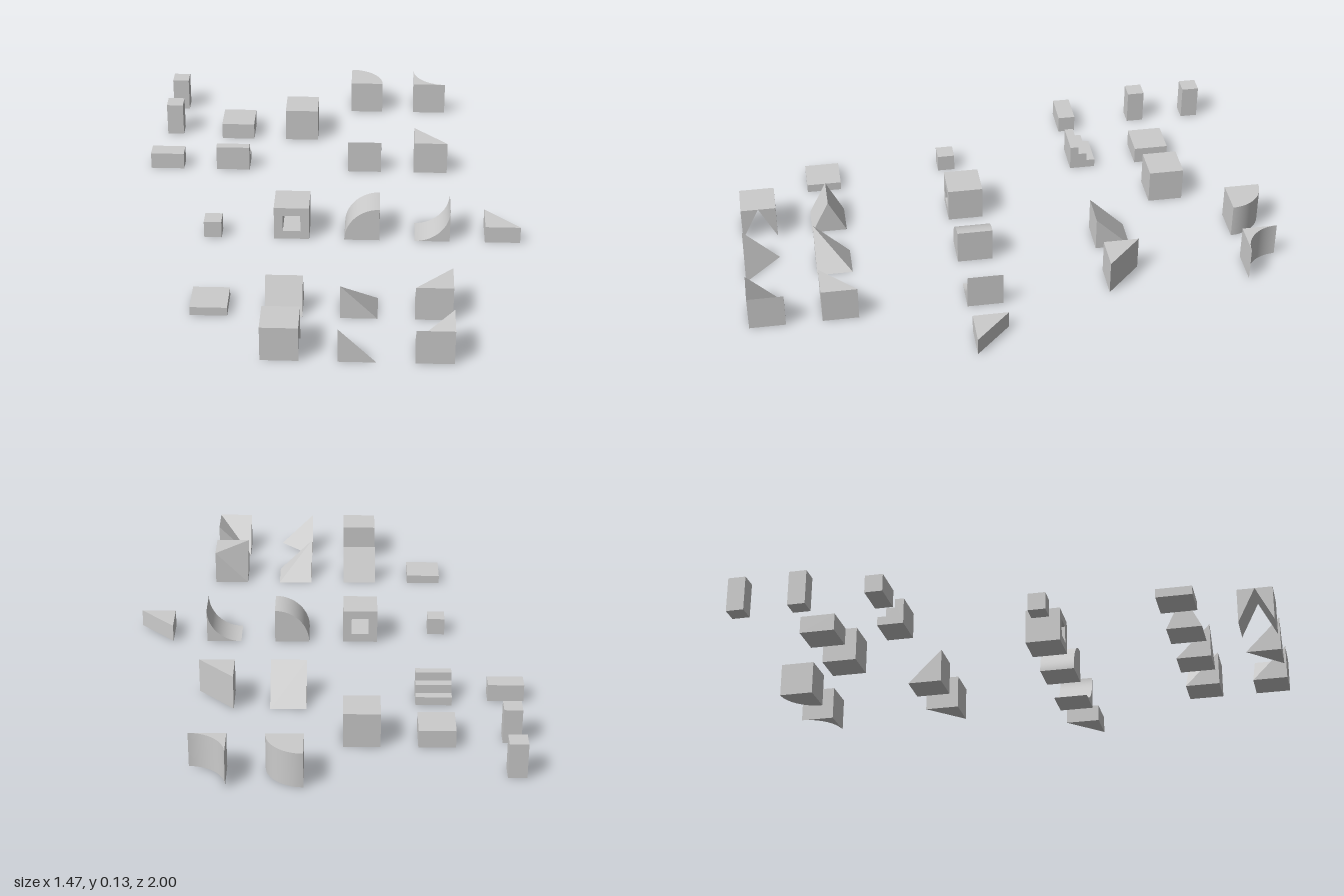
import * as THREE from 'three';
import { toCreasedNormals } from 'three/addons/utils/BufferGeometryUtils.js';
import { ConvexGeometry } from 'three/addons/geometries/ConvexGeometry.js';

const UNIT = 2 / 15; // one block cell; everything below is in cells
const HALF_PI = Math.PI / 2;

const polygon = (points) => new THREE.Shape(points.map(([x, y]) => new THREE.Vector2(x, y)));

// Extrusion centred along its depth
function prism(shape, depth = 1) {
  const geo = new THREE.ExtrudeGeometry(shape, { depth, bevelEnabled: false, curveSegments: 24 });
  return toCreasedNormals(geo.translate(0, 0, -depth / 2), 0.5);
}
// Outline in (x, -z), standing on the ground
const upright = (shape, height) => prism(shape, height).rotateX(-HALF_PI).translate(0, height / 2, 0);
// Outline in (z, y), running along x
const alongX = (points) => prism(polygon(points)).rotateY(-HALF_PI);
// Outline turned a quarter so its corner is at +x, running along z
const lying = (shape) => prism(shape).rotateZ(HALF_PI).translate(0, 0.5, 0);

const box = (w, h, d) => new THREE.BoxGeometry(w, h, d).translate(0, h / 2, 0);
const convex = (points) => new ConvexGeometry(points.map((p) => new THREE.Vector3(...p)));

// Flat-faced solid from corner points and counter-clockwise faces
function solid(corners, faces) {
  const positions = [];
  for (const f of faces) {
    for (let i = 1; i < f.length - 1; i++) {
      positions.push(...corners[f[0]], ...corners[f[i]], ...corners[f[i + 1]]);
    }
  }
  const geo = new THREE.BufferGeometry();
  geo.setAttribute('position', new THREE.Float32BufferAttribute(positions, 3));
  geo.computeVertexNormals();
  return geo;
}

export function createModel() {
  const model = new THREE.Group();
  model.name = 'blockSet';
  const material = new THREE.MeshStandardMaterial({ color: 0xcccccc });
  const a = 0.5;

  const add = (name, geometry, x, z) => {
    const mesh = new THREE.Mesh(geometry, material);
    mesh.name = name;
    mesh.position.set(x, 0, z);
    model.add(mesh);
  };

  // Outlines shared by standing and lying blocks
  const triangle = polygon([[-a, -a], [a, -a], [-a, a]]);
  const round = new THREE.Shape();
  round.moveTo(-a, -a);
  round.lineTo(a, -a);
  round.absarc(-a, -a, 1, 0, HALF_PI, false);
  const cove = new THREE.Shape();
  cove.moveTo(-a, -a);
  cove.lineTo(a, -a);
  cove.absarc(a, a, 1, -HALF_PI, -Math.PI, true);

  // Plain boxes
  add('cornerPost', box(0.5, 1, 0.5), -5, -6.75);
  add('centrePost', box(0.5, 1, 0.5), -5, -5);
  add('halfBlock', box(1, 0.5, 1), -3, -5);
  add('fullBlock', box(1, 1, 1), -1, -5);
  add('lowBar', box(1, 0.5, 0.5), -5, -2.75);
  add('smallCube', box(0.5, 0.5, 0.5), -3.25, 1.25);
  add('thinSlab', box(1, 0.25, 1), -3, 5);

  // Standing columns
  add('roundColumn', upright(round, 1), 1, -7);
  add('coveColumn', upright(cove, 1), 3, -7);
  add('triangleColumn', upright(triangle, 1), 3, -3);
  add('lowTriangleColumn', upright(triangle, 0.5), 5, 1);

  // Curved ramps
  add('roundRamp', lying(round), 1, 1);
  add('coveRamp', lying(cove), 3, 1);

  // Block with a square tunnel from front to back
  const frame = polygon([[-a, 0], [a, 0], [a, 1], [-a, 1]]);
  frame.holes.push(polygon([[-0.25, 0.25], [-0.25, 0.75], [0.25, 0.75], [0.25, 0.25]]));
  add('tunnelBlock', prism(frame), -1, 1);

  // Profiles running sideways
  add('stairs', alongX([[-0.25, 0], [a, 0], [a, 0.75], [0.25, 0.75],
    [0.25, 0.5], [0, 0.5], [0, 0.25], [-0.25, 0.25]]), -3, -3);
  add('ramp', alongX([[-a, 0], [a, 0], [a, 1]]), 1, -3);
  add('gableRoof', alongX([[-a, 0], [a, 0], [0, 1]]), -1, 5);
  add('gableNotchLeftHalf', alongX([[-a, 0], [0, 1], [-a, 1]]), -1, 7);
  add('gableNotchRightHalf', alongX([[a, 0], [a, 1], [0, 1]]), -1, 7);

  // Corner slopes
  add('cornerPyramid', convex([[-a, 0, -a], [a, 0, -a], [a, 0, a], [-a, 0, a], [-a, 1, a]]), 1, 5);
  add('cutCornerBlock', convex([[-a, 0, -a], [a, 0, -a], [a, 0, a], [-a, 0, a],
    [a, 1, -a], [a, 1, a], [-a, 1, a]]), 3, 5);
  add('cornerTetrahedron', convex([[-a, 0, -a], [a, 0, a], [-a, 0, a], [-a, 1, a]]), 1, 7);

  // Two ramps meeting in a valley
  add('valleyRamp', solid(
    [[-a, 0, -a], [a, 0, -a], [a, 0, a], [-a, 0, a], [a, 1, -a], [a, 1, a], [-a, 1, a]],
    [[0, 1, 2, 3], [3, 2, 5, 6], [2, 1, 4, 5], [0, 4, 1], [0, 3, 6], [0, 6, 5], [0, 5, 4]],
  ), 3, 7);

  model.scale.setScalar(UNIT);
  return model;
}
